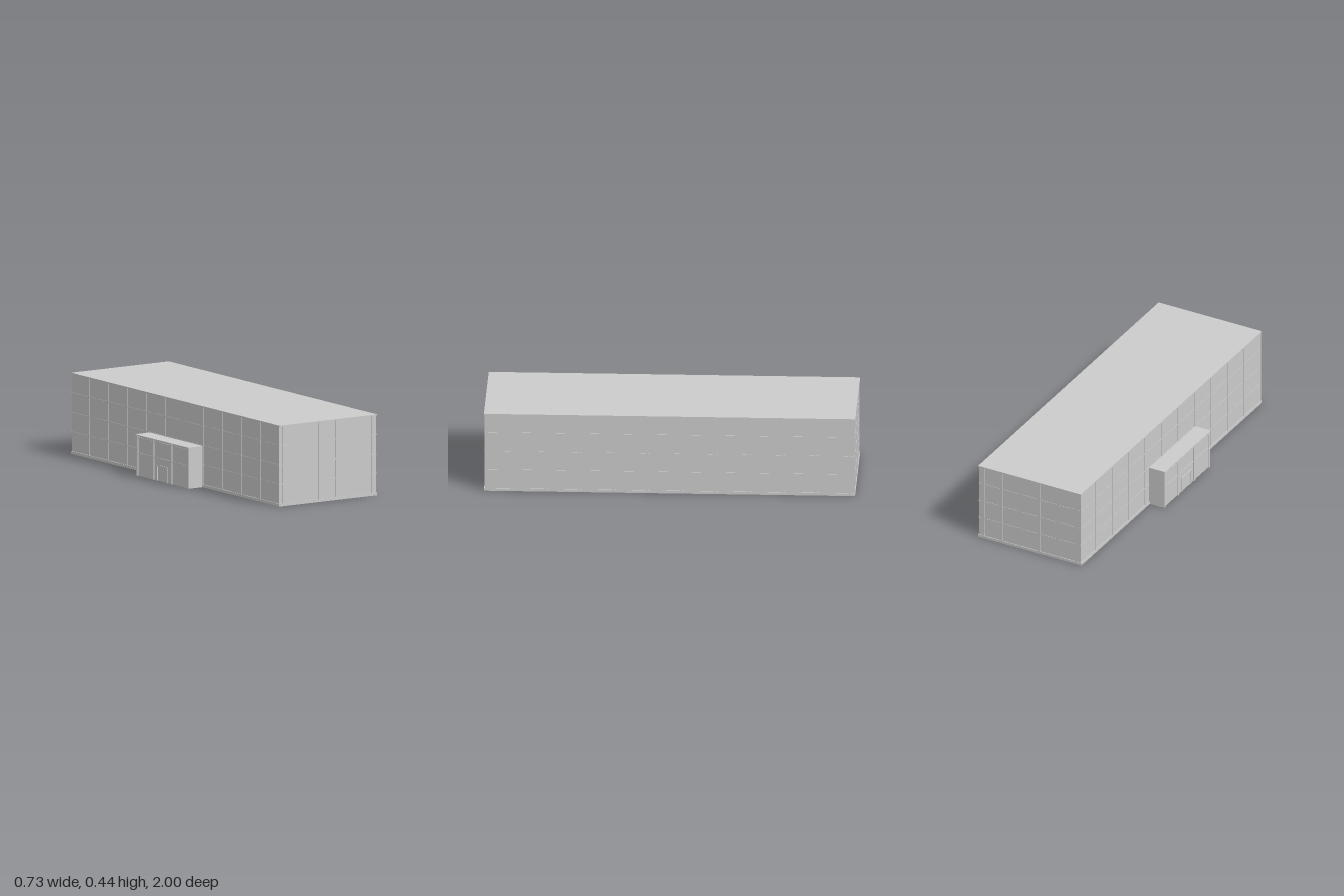
import * as THREE from 'three';

const grey = new THREE.MeshStandardMaterial({ color: 0xcccccc, flatShading: true });

// Box given by its limits on each axis
function block(parent, name, [x0, x1], [y0, y1], [z0, z1]) {
  const mesh = new THREE.Mesh(new THREE.BoxGeometry(x1 - x0, y1 - y0, z1 - z0), grey);
  mesh.position.set((x0 + x1) / 2, (y0 + y1) / 2, (z0 + z1) / 2);
  mesh.name = name;
  parent.add(mesh);
  return mesh;
}

function group(parent, name) {
  const g = new THREE.Group();
  g.name = name;
  parent.add(g);
  return g;
}

export function createModel() {
  const model = new THREE.Group();
  model.name = 'officeBuilding';

  const X0 = -0.268, X1 = 0.361, Z = 0.995; // wall faces
  const TOP = 0.435, OUT = 0.002, W = 0.007; // trim projection and half width

  // Main volume with plinth and roof slab
  block(model, 'walls', [X0, X1], [0, TOP], [-Z, Z]);
  block(model, 'plinth', [X0 - 0.005, X1 + 0.004], [0, 0.015], [-Z - 0.004, Z + 0.004]);
  block(model, 'roofSlab', [X0 - 0.002, X1 + 0.003], [TOP, 0.442], [-1, 1]);

  // Thin floor bands wrapping the walls
  const bands = group(model, 'floorBands');
  for (const y of [0.12, 0.225, 0.333]) {
    block(bands, 'floorBand', [X0 - OUT, X1 + OUT], [y - 0.003, y + 0.003], [-Z - OUT, Z + OUT]);
  }

  // Vertical strips on the long sides
  const strips = group(model, 'wallStrips');
  for (let i = 0; i < 11; i++) {
    const z = -0.97 + i * 0.182;
    block(strips, 'leftStrip', [X1, X1 + 0.003], [0, TOP], [z - W, z + W]);
    const zr = -0.83 + i * 0.182;
    if (zr < Z) block(strips, 'rightStrip', [X0 - 0.003, X0], [0, TOP], [zr - W, zr + W]);
  }

  // Vertical strips on the short ends
  for (let i = 0; i < 6; i++) {
    const x = -0.24 + i * 0.115;
    for (const s of [-1, 1]) {
      const z = s * (Z + 0.0015);
      block(strips, 'endStrip', [x - W, x + W], [0, TOP], [z - 0.0015, z + 0.0015]);
    }
  }

  // Entrance block on the right side
  const porch = group(model, 'entrance');
  const P = -0.357, PZ0 = -0.245, PZ1 = 0.265;
  block(porch, 'entranceWalls', [P, X0], [0, 0.221], [PZ0 + 0.002, PZ1 - 0.002]);
  block(porch, 'entranceRoof', [-0.366, X0], [0.221, 0.225], [PZ0, PZ1]);

  // Pilasters, transoms and door frame on its face
  for (const z of [PZ0 + 0.01, -0.082, 0.092, PZ1 - 0.01]) {
    block(porch, 'pilaster', [P - 0.005, P], [0, 0.221], [z - 0.008, z + 0.008]);
  }
  for (const y of [0.122, 0.208]) {
    block(porch, 'transom', [P - 0.003, P], [y - 0.004, y + 0.004], [PZ0 + 0.002, PZ1 - 0.002]);
  }
  for (const z of [-0.045, 0.055]) {
    block(porch, 'doorJamb', [P - 0.004, P], [0, 0.085], [z - 0.005, z + 0.005]);
  }
  block(porch, 'doorHead', [P - 0.004, P], [0.078, 0.086], [-0.05, 0.06]);

  return model;
}
